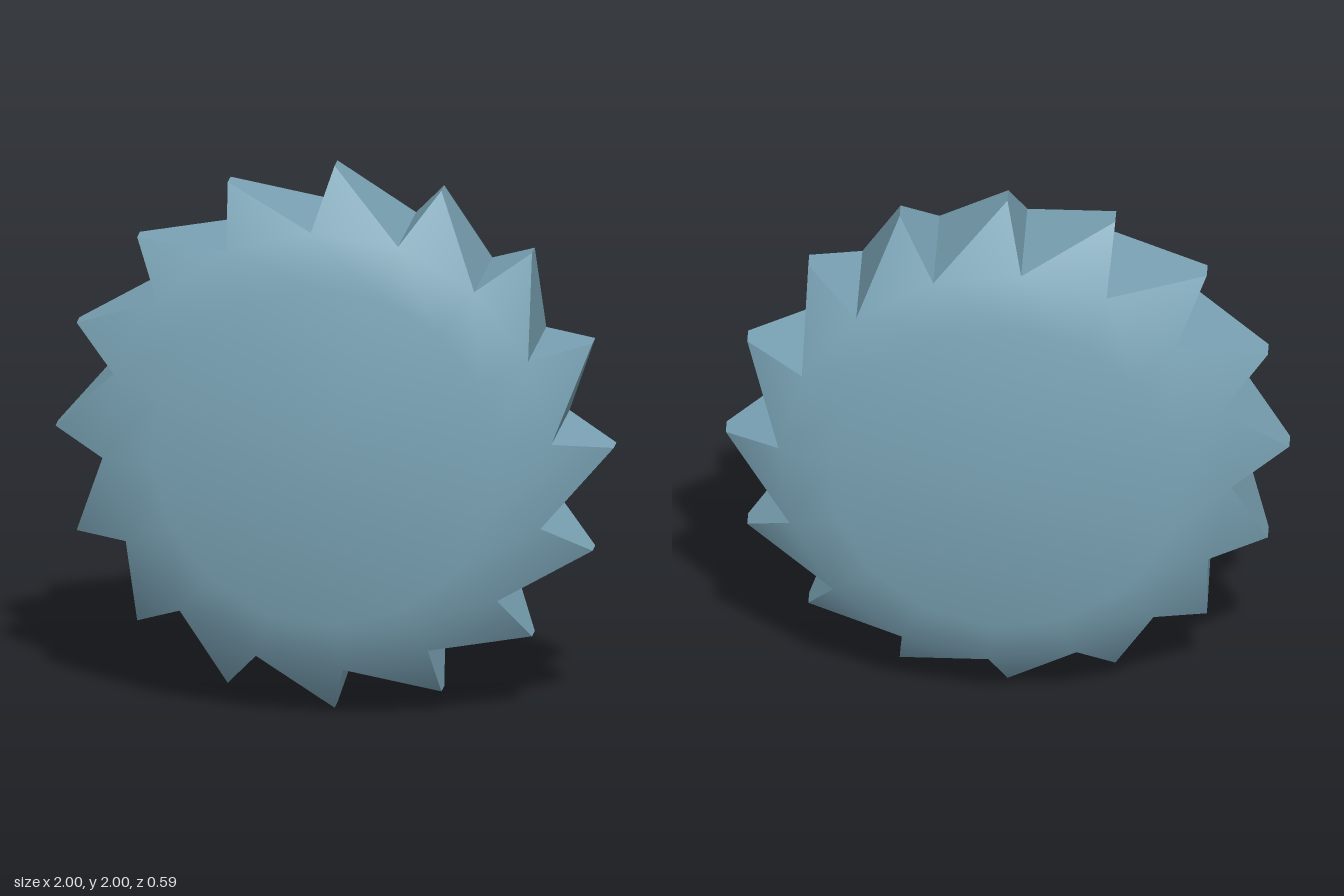
import * as THREE from 'three';
import { toCreasedNormals } from 'three/addons/utils/BufferGeometryUtils.js';

const TEETH = 16;
const STEP = (Math.PI * 2) / TEETH;
const LEAN = THREE.MathUtils.degToRad(4.1); // gullets sit just past each tip

// radius, half thickness and angular offset of each ring of points
const HUB = [0.622, 0.295, LEAN];
const GULLET = [0.806, 0.225, LEAN];
const TIP = [1, 0.035, 0];

const point = ([r, z, offset], k, side) => [
  r * Math.cos(k * STEP + offset),
  r * Math.sin(k * STEP + offset),
  z * side,
];

function bladeGeometry() {
  const positions = [];
  // fan of triangles, flipped for the back side
  const face = (corners, flip = false) => {
    const c = flip ? [...corners].reverse() : corners;
    for (let i = 1; i < c.length - 1; i++) positions.push(...c[0], ...c[i], ...c[i + 1]);
  };

  for (let k = 0; k < TEETH; k++) {
    for (const side of [1, -1]) {
      const flip = side < 0;
      const h0 = point(HUB, k, side), h1 = point(HUB, k + 1, side);
      const g0 = point(GULLET, k, side), g1 = point(GULLET, k + 1, side);
      face([[0, 0, HUB[1] * side], h0, h1], flip); // flat centre
      face([h0, g0, g1, h1], flip); // sloping shoulder
      face([g0, point(TIP, k + 1, side), g1], flip); // tooth flank
    }
    // long and short edges of the tooth, across the thickness
    const wall = (ringA, a, ringB, b) =>
      face([point(ringA, a, 1), point(ringA, a, -1), point(ringB, b, -1), point(ringB, b, 1)]);
    wall(GULLET, k, TIP, k + 1);
    wall(TIP, k + 1, GULLET, k + 1);
  }

  const geometry = new THREE.BufferGeometry();
  geometry.setAttribute('position', new THREE.Float32BufferAttribute(positions, 3));
  return toCreasedNormals(geometry, THREE.MathUtils.degToRad(32));
}

export function createModel() {
  const group = new THREE.Group();
  group.name = 'sawBlade';
  const blade = new THREE.Mesh(bladeGeometry(), new THREE.MeshStandardMaterial({ color: 0x7aa3b5 }));
  blade.name = 'toothedDisc';
  blade.position.y = 1;
  group.add(blade);
  return group;
}
